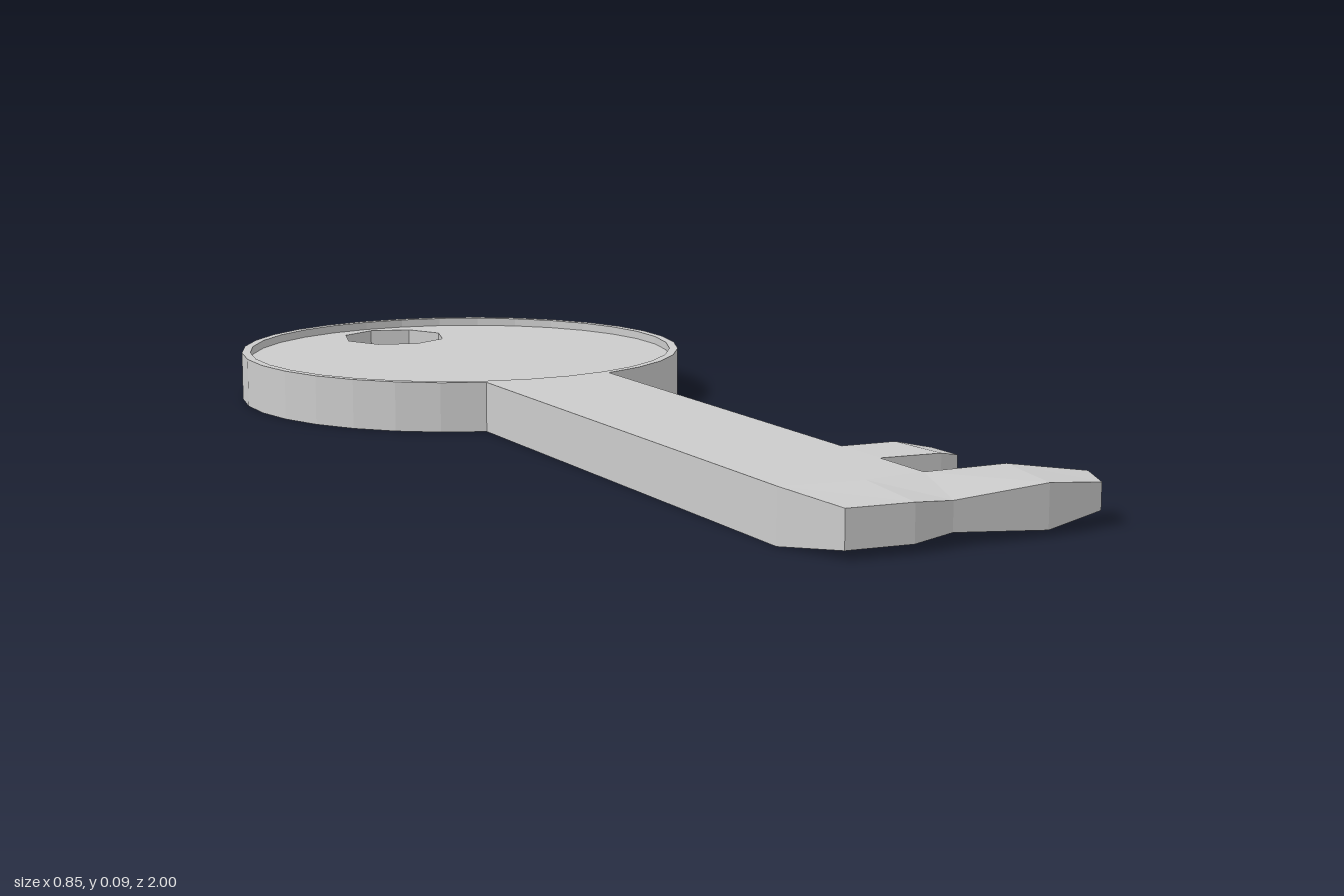
import * as THREE from 'three';

const H = 0.09;         // thickness of the key
const BOW_Z = -0.577;   // centre of the round bow
const grey = new THREE.MeshStandardMaterial({ color: 0xcccccc, flatShading: true });

// Points on an arc in the ground plane, as (x, z); angle 0 points to +z
function arc(cz, r, n, from = 0, to = Math.PI * 2) {
  return Array.from({ length: n }, (_, i) => {
    const a = from + ((to - from) * i) / n;
    return new THREE.Vector2(r * Math.sin(a), cz + r * Math.cos(a));
  });
}

// Flat slab standing on y = 0, from an outline in (x, z); a hole runs the opposite way round
function slab(name, outline, height, hole) {
  const shape = new THREE.Shape(outline);
  if (hole) shape.holes.push(new THREE.Path(hole.reverse()));
  const geo = new THREE.ExtrudeGeometry(shape, { depth: height, bevelEnabled: false });
  geo.rotateX(Math.PI / 2).translate(0, height, 0);
  const mesh = new THREE.Mesh(geo, grey);
  mesh.name = name;
  return mesh;
}

// Tooth running along x. Each station: back x, z, half height, front x, z, half height
function tooth(name, stations) {
  const pos = [], index = [], mid = H / 2;
  for (const [bx, bz, bh, fx, fz, fh] of stations) {
    pos.push(bx, mid + bh, bz, fx, mid + fh, fz, fx, mid - fh, fz, bx, mid - bh, bz);
  }
  const quad = (a, b, c, d) => index.push(a, b, c, a, c, d);
  const last = (stations.length - 1) * 4;
  for (let s = 0; s < last; s += 4) {
    for (let k = 0; k < 4; k++) {
      const n = (k + 1) % 4;
      quad(s + k, s + n, s + 4 + n, s + 4 + k);
    }
  }
  quad(0, 3, 2, 1);
  quad(last, last + 1, last + 2, last + 3);
  const indexed = new THREE.BufferGeometry();
  indexed.setAttribute('position', new THREE.Float32BufferAttribute(pos, 3));
  indexed.setIndex(index);
  const geo = indexed.toNonIndexed();
  geo.computeVertexNormals();
  const mesh = new THREE.Mesh(geo, grey);
  mesh.name = name;
  return mesh;
}

export function createModel() {
  const key = new THREE.Group();
  key.name = 'key';

  // Round bow: recessed plate with an octagonal hole, inside a thin raised rim
  key.add(slab('bowPlate', arc(BOW_Z, 0.407, 32), 0.075, arc(-0.86, 0.103, 8)));
  key.add(slab('bowRim', arc(BOW_Z, 0.423, 32), H, arc(BOW_Z, 0.407, 32)));

  // Slanted shaft, its upper end following the rim
  const shaftEnd = [[0.082, -0.17], [-0.01, 0.872], [-0.12, 0.874], [-0.257, 0.842], [-0.162, -0.19]]
    .map(([x, z]) => new THREE.Vector2(x, z));
  key.add(slab('shaft', [...shaftEnd, ...arc(BOW_Z, 0.414, 6, -0.4, 0.199)], H));

  // Short tooth
  key.add(tooth('shortTooth', [
    [0.008, 0.641, 0.045, 0.0, 0.752, 0.045],
    [0.112, 0.647, 0.043, 0.112, 0.763, 0.043],
    [0.166, 0.673, 0.032, 0.161, 0.743, 0.032],
  ]));

  // Long tooth, closing off the end of the shaft
  key.add(tooth('longTooth', [
    [-0.257, 0.842, 0.045, -0.226, 0.965, 0.031],
    [-0.12, 0.874, 0.045, -0.115, 0.985, 0.031],
    [-0.01, 0.872, 0.045, -0.04, 0.979, 0.024],
    [0.137, 0.887, 0.045, 0.125, 1.0, 0.036],
    [0.266, 0.927, 0.027, 0.241, 0.986, 0.022],
  ]));

  return key;
}
